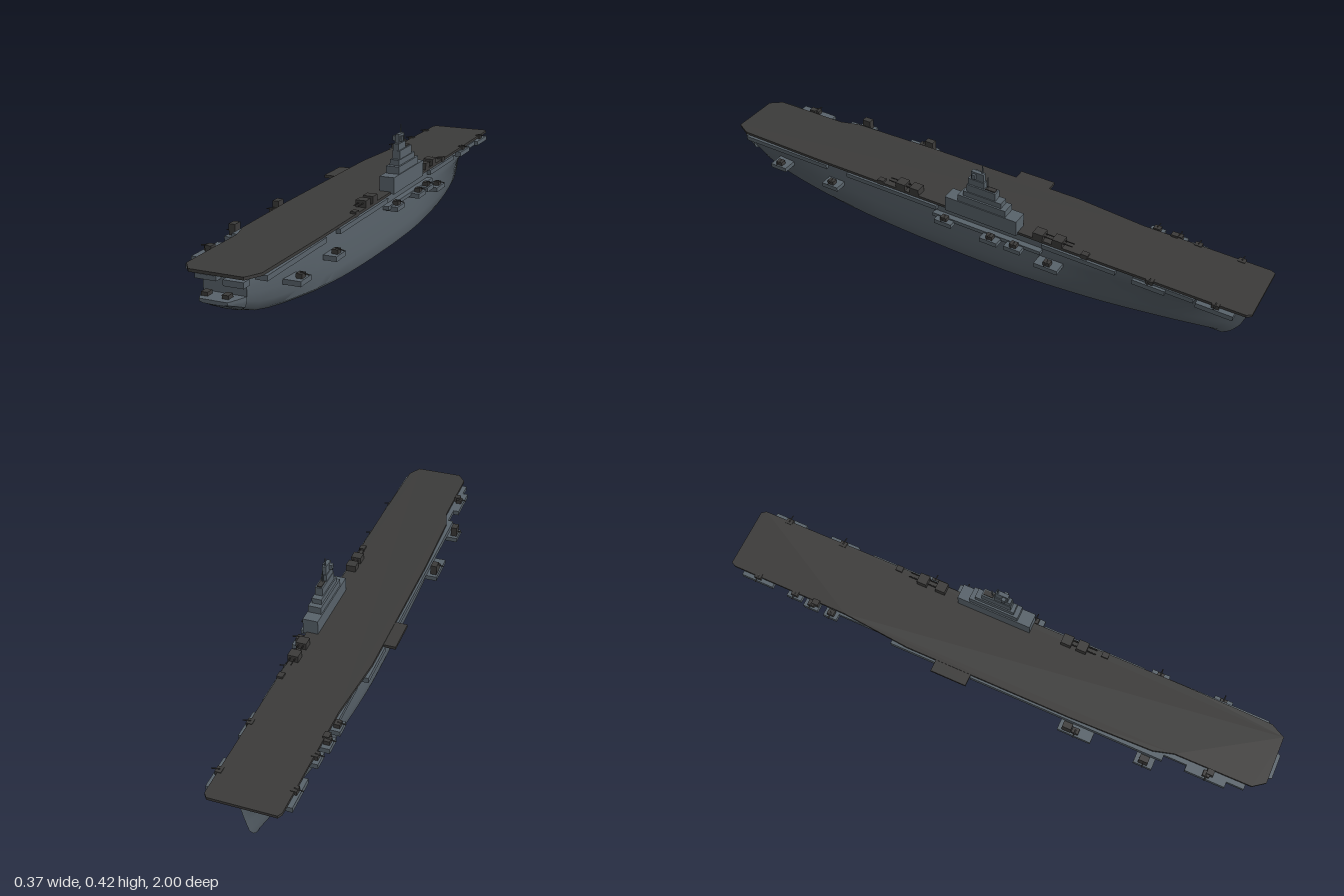
import * as THREE from 'three';
import { toCreasedNormals } from 'three/addons/utils/BufferGeometryUtils.js';

const hullGrey = new THREE.MeshStandardMaterial({ color: 0x59636b });
hullGrey.name = 'hull grey';
const deckDark = new THREE.MeshStandardMaterial({ color: 0x3c3b3a });
deckDark.name = 'dark deck';

const CX = 0.0175; // hull centreline

// Linear lookup in a list of [position, value] pairs
function lookup(list, p) {
  for (let i = 1; i < list.length; i++) {
    const [a, va] = list[i - 1], [b, vb] = list[i];
    if (p <= b) return va + (vb - va) * Math.max(0, (p - a) / (b - a));
  }
  return list[list.length - 1][1];
}

// Lofted hull: flared bow at -z, rising counter and low fantail at +z
function hullGeometry() {
  const keel = [[-1, 0.004], [-0.8, 0.002], [0, 0], [0.2, 0.005], [0.4, 0.014], [0.6, 0.03],
    [0.8, 0.055], [0.88, 0.072], [0.93, 0.092], [0.97, 0.115], [1, 0.13]];
  const stem = [[0, -0.89], [0.02, -0.92], [0.05, -0.945], [0.1, -0.962], [0.15, -0.978], [0.205, -0.993]];
  // height fraction, midship half width, bow fullness, stern fullness
  const levels = [[1, 0.107, 6, 7], [0.8, 0.107, 5, 7], [0.72, 0.107, 3.6, 7], [0.5, 0.107, 2.5, 6],
    [0.28, 0.106, 2, 5], [0.12, 0.104, 1.7, 4], [0.06, 0.1, 1.5, 3], [0, 0, 1, 1]];
  const stations = [];
  const add = (z, top) => stations.push([z, top]);
  for (const z of [1, 0.99, 0.975, 0.955, 0.94]) add(z, 0.142);
  add(0.94, 0.205);
  for (let i = 1; i <= 30; i++) add(0.94 - i * 0.058, 0.205);
  for (const z of [-0.84, -0.88, -0.92, -0.95, -0.975, -0.99, -1]) add(z, 0.205);

  const rings = stations.map(([z, top]) => {
    const k = lookup(keel, z);
    const half = levels.map(([v, w, bow, stern]) => {
      const y = k + v * (top - k);
      const tb = Math.max(0, (-0.15 - z) / 0.85), ts = Math.max(0, (z - 0.1) / 0.9);
      const hw = w * (1 - tb ** bow) * (1 - (v < 0.2 ? 0.68 : 0.6) * ts ** stern);
      const zz = z < -0.5 ? -0.5 + (z + 0.5) * (lookup(stem, y) + 0.5) / -0.5 : z;
      return [hw, y, zz];
    });
    const right = half.slice(0, -1).reverse().map(([w, y, q]) => [CX - w, y, q]);
    return half.map(([w, y, q]) => [CX + w, y, q]).concat(right);
  });

  const n = rings[0].length, index = [];
  for (let i = 0; i < rings.length - 1; i++) {
    for (let j = 0; j < n; j++) {
      const a = i * n + j, b = i * n + (j + 1) % n;
      index.push(a, b, a + n, b, b + n, a + n);
    }
  }
  for (let j = 1; j < n - 1; j++) index.push(0, j + 1, j);
  const g = new THREE.BufferGeometry();
  g.setAttribute('position', new THREE.Float32BufferAttribute(rings.flat(2), 3));
  g.setIndex(index);
  return toCreasedNormals(g, 0.5);
}

export function createModel() {
  const root = new THREE.Group();
  root.name = 'aircraftCarrier';

  const mesh = (name, geometry, material, parent = root) => {
    const m = new THREE.Mesh(geometry, material);
    m.name = name;
    parent.add(m);
    return m;
  };
  // Box given by its limits
  const box = (name, x0, x1, y0, y1, z0, z1, material = hullGrey, parent = root) => {
    const m = mesh(name, new THREE.BoxGeometry(x1 - x0, y1 - y0, z1 - z0), material, parent);
    m.position.set((x0 + x1) / 2, (y0 + y1) / 2, (z0 + z1) / 2);
    return m;
  };

  mesh('hull', hullGeometry(), hullGrey);

  // Flight deck
  const outline = [[-0.098, -1], [0.115, -1], [0.127, -0.985], [0.13, -0.4], [0.132, 0.6], [0.127, 0.93],
    [0.1, 0.98], [-0.07, 0.98], [-0.1, 0.94], [-0.102, 0.67], [-0.122, 0.6], [-0.13, 0.3], [-0.13, -0.3],
    [-0.108, -0.55], [-0.106, -0.985]].map(([x, z]) => new THREE.Vector2(x, z));
  const deck = new THREE.ExtrudeGeometry(new THREE.Shape(outline), { depth: 0.009, bevelEnabled: false });
  deck.rotateX(Math.PI / 2);
  mesh('flightDeck', deck, deckDark).position.y = 0.212;
  box('deckEdgeLift', -0.172, -0.125, 0.2, 0.21, -0.19, -0.06, deckDark);

  // Galleries under the deck edge: x0, x1, y0, y1, z0, z1
  const galleries = [
    [-0.137, -0.085, 0.183, 0.202, -0.36, -0.19], [-0.137, -0.085, 0.183, 0.202, -0.06, 0.64],
    [-0.115, -0.06, 0.185, 0.2, -0.62, -0.4], [-0.117, -0.05, 0.185, 0.2, 0.64, 0.92],
    [0.1, 0.137, 0.186, 0.202, -0.56, -0.3], [0.11, 0.139, 0.186, 0.202, 0.1, 0.47],
    [0.1, 0.137, 0.186, 0.202, 0.56, 0.92], [0.11, 0.145, 0.163, 0.176, -0.3, 0.11],
    [0.08, 0.132, 0.186, 0.202, -0.82, -0.62],
  ];
  galleries.forEach((g) => box('gallery', ...g));

  // Gun sponsons on both sides
  const sponsons = [
    [0.08, 0.142, 0.183, 0.2, -0.95, -0.83], [0.09, 0.142, 0.183, 0.2, -0.73, -0.62],
    [0.11, 0.172, 0.155, 0.171, -0.24, -0.18], [0.11, 0.175, 0.155, 0.171, -0.155, -0.09],
    [0.11, 0.168, 0.155, 0.171, 0.025, 0.09], [0.11, 0.168, 0.127, 0.143, -0.375, -0.29],
    [0.1, 0.168, 0.13, 0.146, 0.495, 0.56], [0.09, 0.168, 0.13, 0.146, 0.725, 0.79],
    [-0.12, -0.05, 0.183, 0.2, -0.95, -0.83], [-0.125, -0.06, 0.183, 0.2, -0.77, -0.715],
    [-0.135, -0.06, 0.183, 0.2, -0.7, -0.645], [-0.138, -0.07, 0.183, 0.2, -0.62, -0.57],
    [-0.175, -0.09, 0.166, 0.182, 0.28, 0.4], [-0.175, -0.09, 0.166, 0.182, 0.555, 0.62],
    [-0.137, -0.08, 0.183, 0.2, 0.72, 0.86],
  ];
  // Light gun: block and thin barrel pointing outboard
  const lightGun = (x, y, z, side) => {
    const gun = new THREE.Group();
    gun.name = 'lightGun';
    gun.position.set(x, y, z);
    root.add(gun);
    box('mount', -0.01, 0.01, 0, 0.014, -0.012, 0.012, deckDark, gun);
    const barrel = mesh('barrel', new THREE.CylinderGeometry(0.002, 0.002, 0.028, 6), deckDark, gun);
    barrel.rotation.z = Math.PI / 2 - side * 0.2;
    barrel.position.set(side * 0.012, 0.013, 0);
  };
  for (const s of sponsons) {
    box('sponson', ...s);
    const side = Math.sign(s[0]);
    lightGun(side > 0 ? s[1] - 0.016 : s[0] + 0.016, s[3], (s[4] + s[5]) / 2, side);
  }
  for (const z of [0.31, 0.585]) box('director', -0.17, -0.148, 0.182, 0.217, z - 0.016, z + 0.016, deckDark);

  // Fantail platforms and guns
  box('fantailPlatform', -0.06, 0.007, 0.182, 0.196, 0.93, 0.965);
  box('fantailPlatform', 0.027, 0.09, 0.172, 0.19, 0.93, 0.965);
  for (const x of [-0.022, 0.042]) box('fantailGun', x - 0.01, x + 0.01, 0.142, 0.153, 0.955, 0.98, deckDark);

  // Stepped island and mast
  const island = new THREE.Group();
  island.name = 'island';
  root.add(island);
  const tiers = [
    [0.09, 0.143, 0.205, 0.262, -0.21, 0.06], [0.094, 0.14, 0.262, 0.287, -0.167, 0.012],
    [0.1, 0.134, 0.287, 0.306, -0.148, -0.005], [0.104, 0.131, 0.306, 0.335, -0.125, -0.018],
    [0.106, 0.126, 0.335, 0.358, -0.08, -0.02], [0.109, 0.123, 0.358, 0.388, -0.076, -0.03],
    [0.097, 0.131, 0.364, 0.381, -0.05, -0.036],
  ];
  tiers.forEach((t) => box('islandTier', ...t, hullGrey, island));
  const mast = mesh('mast', new THREE.CylinderGeometry(0.002, 0.004, 0.06, 8), hullGrey, island);
  mast.position.set(0.114, 0.387, -0.068);
  const pole = mesh('aftPole', new THREE.CylinderGeometry(0.002, 0.002, 0.05, 6), hullGrey, island);
  pole.position.set(0.116, 0.355, -0.09);
  box('funnelTop', 0.109, 0.126, 0.335, 0.339, -0.12, -0.085, deckDark, island);

  // Twin gun turrets before and abaft the island
  for (const [z, dir] of [[0.192, 1], [0.248, 1], [-0.283, -1], [-0.353, -1]]) {
    const turret = new THREE.Group();
    turret.name = 'twinTurret';
    turret.position.set(0.114, 0.212, z);
    root.add(turret);
    box('gunhouse', -0.018, 0.018, 0, 0.023, -0.018, 0.018, deckDark, turret);
    for (const x of [-0.008, 0.008]) {
      const barrel = mesh('barrel', new THREE.CylinderGeometry(0.002, 0.002, 0.035, 6), deckDark, turret);
      barrel.rotation.x = Math.PI / 2;
      barrel.position.set(x, 0.014, dir * 0.034);
    }
  }
  // Small deck-edge mounts
  for (const [x, z] of [[0.122, 0.33], [0.122, -0.45], [-0.112, -0.66], [-0.112, 0.8]]) {
    box('deckEdgeMount', x - 0.01, x + 0.01, 0.2, 0.219, z - 0.012, z + 0.012, deckDark);
  }
  return root;
}
